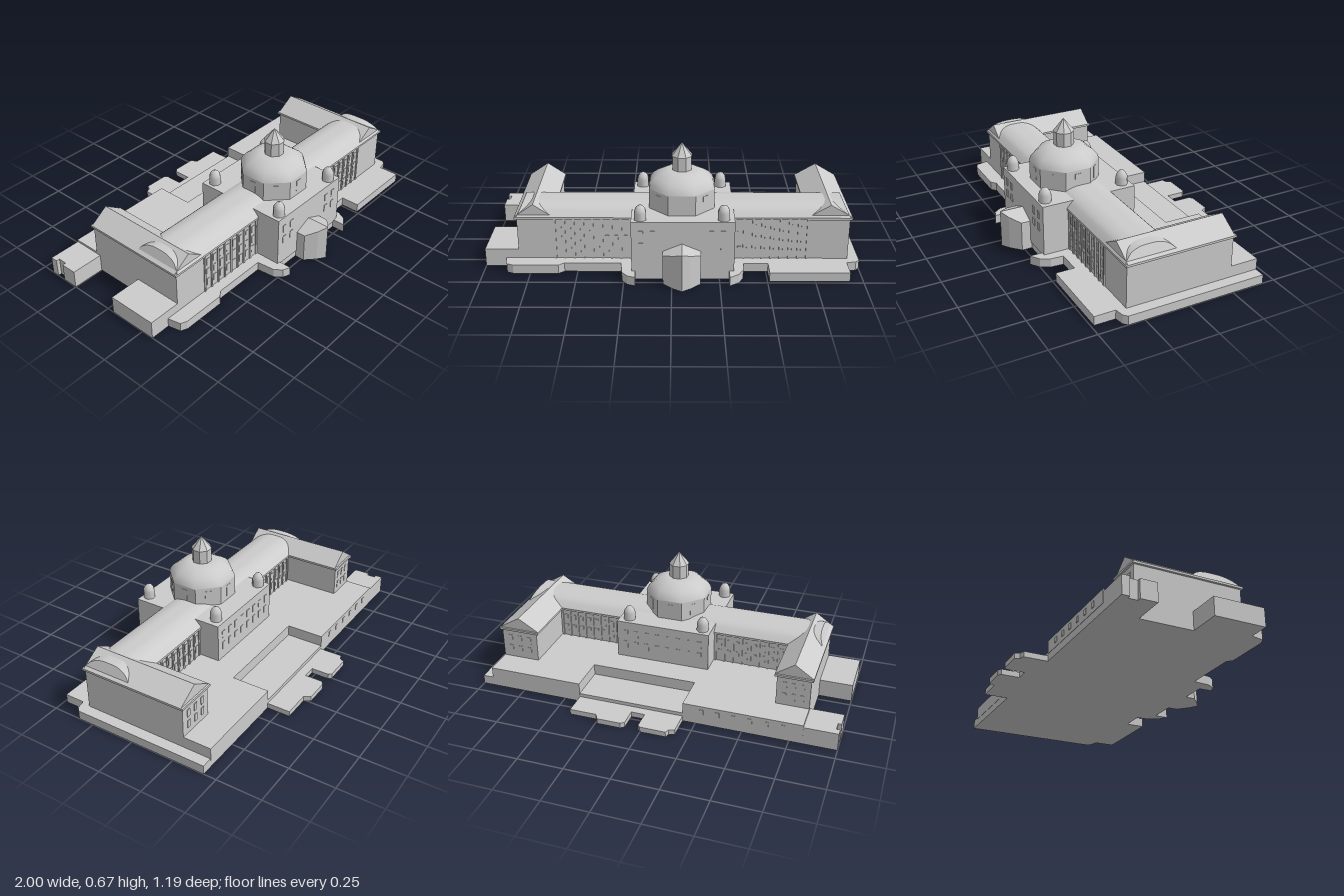
import * as THREE from 'three';

export function createModel() {
  const root = new THREE.Group();
  const flat = new THREE.MeshStandardMaterial({ color: 0xcccccc, flatShading: true });
  const smooth = new THREE.MeshStandardMaterial({ color: 0xcccccc, side: THREE.DoubleSide });

  function add(name, geo, mat = flat) {
    const m = new THREE.Mesh(geo, mat);
    m.name = name;
    root.add(m);
    return m;
  }
  // Box given by its limits
  function block(name, x0, x1, y0, y1, z0, z1) {
    const g = new THREE.BoxGeometry(x1 - x0, y1 - y0, z1 - z0);
    return add(name, g.translate((x0 + x1) / 2, (y0 + y1) / 2, (z0 + z1) / 2));
  }
  // Ground plan of [x, z] points raised from y0 to y1
  function planGeometry(pts, y0, y1) {
    const s = new THREE.Shape(pts.map(([x, z]) => new THREE.Vector2(x, -z)));
    return new THREE.ExtrudeGeometry(s, { depth: y1 - y0, bevelEnabled: false })
      .rotateX(-Math.PI / 2).translate(0, y0, 0);
  }

  // Plinth with rounded steps and side recess
  add('plinth', planGeometry([
    [-1, -0.43], [1, -0.43], [1, 0.34], [0.98, 0.36], [0.93, 0.37], [0.93, 0.485], [0.51, 0.485],
    [0.51, 0.38], [0.38, 0.38], [0.375, 0.45], [0.35, 0.5], [0.3, 0.535], [0.3, 0.46],
    [-0.19, 0.46], [-0.19, 0.535], [-0.23, 0.52], [-0.26, 0.48], [-0.27, 0.38], [-0.57, 0.38],
    [-0.6, 0.405], [-0.84, 0.405], [-0.875, 0.39], [-0.89, 0.32], [-1, 0.32], [-1, 0.04],
    [-0.82, 0.04], [-0.82, -0.25], [-1, -0.25], [-1, -0.34], [-0.98, -0.34], [-0.98, -0.39], [-1, -0.39],
  ], 0, 0.05));
  add('rearSteps', planGeometry([
    [-0.18, -0.43], [-0.18, -0.56], [-0.15, -0.57], [-0.14, -0.595], [0, -0.595], [0.015, -0.58],
    [0.015, -0.48], [0.09, -0.48], [0.09, -0.58], [0.11, -0.595], [0.24, -0.595], [0.26, -0.56],
    [0.41, -0.56], [0.41, -0.43],
  ], 0, 0.03));

  // Terrace around the rear court, recessed in the middle
  add('terrace', planGeometry([
    [-0.82, -0.432], [-0.18, -0.432], [-0.18, -0.22], [0.41, -0.22], [0.41, -0.432],
    [0.94, -0.432], [0.94, 0.1], [-0.82, 0.1],
  ], 0.04, 0.112));
  block('sideAnnex', -1, -0.82, 0.04, 0.1, 0.04, 0.32);
  add('sideAnnex', planGeometry([
    [-0.82, -0.43], [-0.82, -0.25], [-1, -0.25], [-1, -0.34], [-0.98, -0.34], [-0.98, -0.39], [-1, -0.39], [-1, -0.43],
  ], 0.04, 0.1));

  // Main range with cornice and curved roof
  block('mainRange', -0.82, 0.94, 0.05, 0.285, 0.05, 0.32);
  block('mainCornice', -0.83, 0.95, 0.28, 0.292, 0.04, 0.33);
  const arch = new THREE.Shape();
  arch.moveTo(-0.33, 0.292);
  arch.splineThru([[-0.29, 0.33], [-0.24, 0.348], [-0.185, 0.351], [-0.13, 0.348], [-0.08, 0.33], [-0.04, 0.292]]
    .map(p => new THREE.Vector2(...p)));
  arch.closePath();
  const roof = new THREE.ExtrudeGeometry(arch, { depth: 1.76, bevelEnabled: false, curveSegments: 14 })
    .rotateY(Math.PI / 2).translate(-0.82, 0, 0);
  const rp = roof.attributes.position;
  for (let i = 0; i < rp.count; i++) { // lean the two roof ends inward
    const lean = (rp.getY(i) - 0.292) * 0.5;
    rp.setX(i, rp.getX(i) + (rp.getX(i) < 0 ? lean : -lean));
  }
  roof.computeVertexNormals();
  add('mainRoof', roof);

  // Side wings with gabled roofs
  for (const [x0, x1] of [[-0.82, -0.64], [0.73, 0.94]]) {
    block('wing', x0, x1, 0.05, 0.285, -0.275, 0.32);
    block('wingCornice', x0 - 0.012, x1 + 0.012, 0.28, 0.292, -0.285, 0.33);
    const c = (x0 + x1) / 2;
    const gable = new THREE.Shape([
      new THREE.Vector2(x0 - 0.012, 0.292), new THREE.Vector2(x1 + 0.012, 0.292), new THREE.Vector2(c, 0.362)]);
    add('wingRoof', new THREE.ExtrudeGeometry(gable, { depth: 0.595, bevelEnabled: false }).translate(0, 0, -0.275));
  }

  // Central pavilion
  block('pavilion', -0.21, 0.325, 0.04, 0.33, -0.07, 0.465);

  // Faceted porch: two mirrored halves whose tops rise to a ridge
  for (const s of [-1, 1]) {
    let pts = [[0, 0.46], [0.098, 0.46], [0.098, 0.515], [0.045, 0.565], [0, 0.595]];
    pts = pts.map(([x, z]) => [0.052 + s * x, z]);
    const g = planGeometry(pts, 0, 0.2);
    const p = g.attributes.position;
    for (let i = 0; i < p.count; i++)
      if (p.getY(i) > 0.1) p.setY(i, 0.207 - Math.abs(p.getX(i) - 0.052) * 0.43);
    g.computeVertexNormals();
    add('porch', g);
  }

  // Octagonal drum, dome and lantern
  const k = 1 / Math.cos(Math.PI / 8), cx = 0.052, cz = 0.215;
  const octagon = (name, rTop, rBottom, y0, y1) =>
    add(name, new THREE.CylinderGeometry(rTop * k, rBottom * k, y1 - y0, 8)
      .rotateY(Math.PI / 8).translate(cx, (y0 + y1) / 2, cz));
  octagon('drum', 0.172, 0.172, 0.28, 0.442);
  const domeProfile = [[0.173, 0.44], [0.165, 0.462], [0.147, 0.485], [0.122, 0.504], [0.095, 0.518], [0.065, 0.526], [0, 0.526]]
    .map(([r, y]) => new THREE.Vector2(r * k, y));
  add('dome', new THREE.LatheGeometry(domeProfile, 8, Math.PI / 8).translate(cx, 0, cz), smooth);
  octagon('lantern', 0.05, 0.05, 0.52, 0.605);
  octagon('lanternSpire', 0, 0.053, 0.603, 0.673);
  for (let i = 0; i < 8; i++) {
    const w = add('drumWindow', new THREE.BoxGeometry(0.034, 0.065, 0.004).translate(0, 0.388, 0.172));
    w.rotation.y = i * Math.PI / 4;
    w.position.set(cx, 0, cz);
  }

  // Corner turrets
  const turretProfile = [[0.033, 0.32], [0.033, 0.37], [0.028, 0.388], [0.016, 0.405], [0, 0.412]]
    .map(p => new THREE.Vector2(...p));
  for (const x of [-0.162, 0.268])
    for (const z of [-0.02, 0.427])
      add('turret', new THREE.LatheGeometry(turretProfile, 8, Math.PI / 8).translate(x, 0, z), smooth);

  // Rows of windows on walls facing front or back
  function windows(name, x0, x1, cols, ys, z, w, h) {
    for (let i = 0; i < cols; i++)
      for (const y of ys) {
        const x = x0 + (x1 - x0) * (i + 0.5) / cols;
        block(name, x - w / 2, x + w / 2, y - h / 2, y + h / 2, z - 0.003, z + 0.003);
      }
  }
  const rows = [0.1, 0.165, 0.23];
  for (const [x0, x1] of [[-0.62, -0.22], [0.335, 0.72]]) {
    windows('frontWindow', x0, x1, 8, rows, 0.32, 0.02, 0.042);
    windows('courtWindow', x0, x1, 8, [0.165, 0.23], 0.05, 0.02, 0.042);
    for (let i = 0; i <= 8; i++) {
      const x = x0 + (x1 - x0) * i / 8;
      block('pilaster', x - 0.005, x + 0.005, 0.05, 0.28, 0.318, 0.326);
      block('pilaster', x - 0.005, x + 0.005, 0.11, 0.28, 0.044, 0.052);
    }
  }
  windows('wingWindow', -0.8, -0.66, 3, [0.165, 0.23], -0.275, 0.022, 0.042);
  windows('wingWindow', 0.75, 0.92, 3, [0.165, 0.23], -0.275, 0.022, 0.042);
  windows('pavilionRearWindow', -0.19, 0.305, 8, [0.19, 0.26], -0.07, 0.024, 0.042);
  windows('pavilionWindow', -0.19, -0.07, 2, [0.19, 0.26], 0.465, 0.024, 0.042);
  windows('pavilionWindow', 0.175, 0.295, 2, [0.19, 0.26], 0.465, 0.024, 0.042);
  windows('terraceWindow', -0.76, -0.24, 6, [0.078], -0.432, 0.022, 0.03);

  return root;
}
